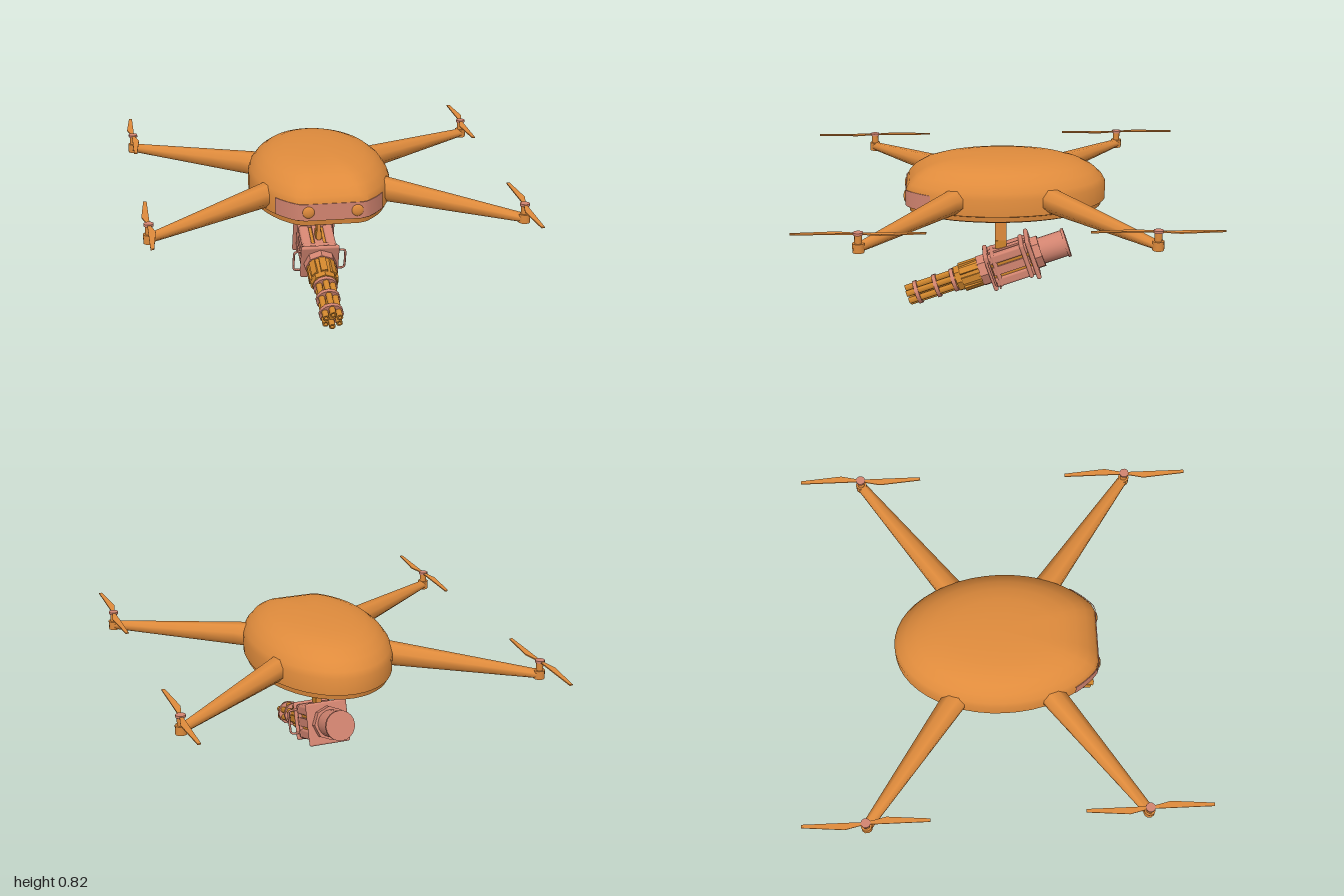
import * as THREE from 'three';
import { toCreasedNormals } from 'three/addons/utils/BufferGeometryUtils.js';
import { RoundedBoxGeometry } from 'three/addons/geometries/RoundedBoxGeometry.js';

const material = (name, color) => Object.assign(new THREE.MeshStandardMaterial({ color }), { name });
const orange = material('orange shell', 0xdf8b3c);
const amber = material('amber gunmetal', 0xcf852c);
const pink = material('salmon metal', 0xd28470);

function add(parent, name, geometry, mat, x = 0, y = 0, z = 0) {
  const mesh = new THREE.Mesh(geometry, mat);
  mesh.name = name;
  mesh.position.set(x, y, z);
  parent.add(mesh);
  return mesh;
}

// Oval turned surface with a flattened nose
function ovalShell(profile, start = 0, length = Math.PI * 2, segments = 48) {
  const points = profile.map(([r, y]) => new THREE.Vector2(r, y));
  const g = new THREE.LatheGeometry(points, segments, start, length);
  const p = g.attributes.position;
  for (let i = 0; i < p.count; i++) {
    const x = p.getX(i), z = p.getZ(i), r = Math.hypot(x, z);
    p.setXYZ(i, x * 0.355, p.getY(i), Math.min(z * 0.535, r * 0.48));
  }
  return toCreasedNormals(g, 0.6);
}

function createBody() {
  const body = new THREE.Group();
  body.name = 'body';
  add(body, 'shell', ovalShell([
    [0.9, 0.56], [0.96, 0.57], [0.97, 0.595], [1, 0.6], [1, 0.685], [0.97, 0.715], [0.89, 0.755],
    [0.78, 0.787], [0.65, 0.808], [0.48, 0.822], [0.25, 0.829], [0, 0.831]]), orange);
  add(body, 'underside', ovalShell([[0, 0.56], [0.9, 0.56]]), pink);
  add(body, 'nosePanel', ovalShell([[1, 0.604], [1.008, 0.604], [1.008, 0.686], [1, 0.686]], -0.84, 1.68, 24), pink);
  for (const side of [-1, 1]) {
    const lens = add(body, 'lens', new THREE.SphereGeometry(0.03, 16, 10), orange, side * 0.12, 0.645, 0.482);
    lens.scale.z = 0.4;
  }
  return body;
}

// Tapered arm running from z = 0 to z = length
function armGeometry(length) {
  const g = new THREE.CylinderGeometry(1, 1, 1, 8, 5).rotateY(Math.PI / 8).rotateX(Math.PI / 2);
  const p = g.attributes.position;
  for (let i = 0; i < p.count; i++) {
    const t = p.getZ(i) + 0.5;
    const top = 0.73 - 0.075 * t, bottom = 0.605 + 0.01 * t;
    const halfWidth = 0.064 - 0.04 * t;
    p.setXYZ(i, p.getX(i) * halfWidth / 0.92, (top + bottom) / 2 + p.getY(i) * (top - bottom) / 1.85, t * length);
  }
  return toCreasedNormals(g, 0.9);
}

function propellerGeometry() {
  const blade = [[0.006, -0.02], [0.006, -0.31], [-0.01, -0.31], [-0.028, -0.1], [-0.012, -0.03]];
  const outline = [...blade, ...blade.map(([x, y]) => [-x, -y])].map(([x, y]) => new THREE.Vector2(x, y));
  return new THREE.ExtrudeGeometry(new THREE.Shape(outline), { depth: 0.006, bevelEnabled: false }).rotateX(Math.PI / 2);
}

function createRotorArm(tipX, tipZ) {
  const group = new THREE.Group();
  group.name = 'rotorArm';
  const rootX = Math.sign(tipX) * 0.2, rootZ = Math.sign(tipZ) * 0.175;
  const dx = tipX - rootX, dz = tipZ - rootZ;
  const arm = add(group, 'arm', armGeometry(Math.hypot(dx, dz)), orange, rootX, 0, rootZ);
  arm.rotation.y = Math.atan2(dx, dz);
  add(group, 'motor', new THREE.CylinderGeometry(0.028, 0.028, 0.044, 10), orange, tipX, 0.635, tipZ);
  add(group, 'shaft', new THREE.CylinderGeometry(0.018, 0.018, 0.05, 10), orange, tipX, 0.68, tipZ);
  add(group, 'cap', new THREE.CylinderGeometry(0.024, 0.024, 0.012, 10), pink, tipX, 0.703, tipZ);
  const propeller = add(group, 'propeller', propellerGeometry(), orange, tipX, 0.705, tipZ);
  propeller.scale.x = -Math.sign(tipX);
  return group;
}

// Gun lies along local z, muzzle at the origin, back of the gun at negative z
function createGun() {
  const gun = new THREE.Group();
  gun.name = 'rotaryGun';
  const tube = (name, from, to, r, mat, sides = 20, rBack = r) =>
    add(gun, name, toCreasedNormals(new THREE.CylinderGeometry(r, rBack, to - from, sides).rotateX(Math.PI / 2), 0.6),
      mat, 0, 0, -(from + to) / 2);

  // Barrel cluster with open muzzles
  const barrelShape = new THREE.Shape().absarc(0, 0, 0.0165, 0, Math.PI * 2);
  barrelShape.holes.push(new THREE.Path().absarc(0, 0, 0.009, 0, Math.PI * 2, true));
  const barrelGeometry = toCreasedNormals(new THREE.ExtrudeGeometry(barrelShape,
    { depth: 0.3, bevelEnabled: false, curveSegments: 6 }), 0.8);
  for (let i = 0; i < 6; i++) {
    const a = i * Math.PI / 3 + Math.PI / 6;
    add(gun, 'barrel', barrelGeometry, amber, Math.cos(a) * 0.04, Math.sin(a) * 0.04, -0.3);
  }
  tube('spindle', 0.03, 0.3, 0.02, amber, 12);
  for (const u of [0.045, 0.15, 0.245]) tube('barrelClamp', u, u + 0.02, 0.063, pink, 12);

  // Faceted drive housing
  tube('housing', 0.27, 0.44, 0.068, amber, 8, 0.078);
  for (let i = 0; i < 4; i++) {
    const rib = add(gun, 'housingRib', new THREE.BoxGeometry(0.035, 0.15, 0.13), amber, 0, 0, -0.365);
    rib.rotation.z = i * Math.PI / 4;
  }
  tube('housingCollar', 0.4, 0.45, 0.084, pink, 8);

  // Receiver between two framed plates
  add(gun, 'receiver', new RoundedBoxGeometry(0.15, 0.15, 0.25, 2, 0.025), amber, 0, 0, -0.57);
  for (let i = 0; i < 4; i++) {
    const a = i * Math.PI / 2;
    const corner = new THREE.Vector2(0.063, 0.063).rotateAround(new THREE.Vector2(), a);
    add(gun, 'cornerRail', new RoundedBoxGeometry(0.05, 0.05, 0.22, 2, 0.012), pink, corner.x, corner.y, -0.57);
    const rail = add(gun, 'sideRail', new THREE.BoxGeometry(0.045, 0.02, 0.2), pink,
      -Math.sin(a) * 0.078, Math.cos(a) * 0.078, -0.57);
    rail.rotation.z = a;
  }
  for (const [u, size] of [[0.455, 0.2], [0.49, 0.18], [0.65, 0.19], [0.685, 0.22]])
    add(gun, 'framePlate', new RoundedBoxGeometry(size, size, 0.024, 3, 0.011), pink, 0, 0, -u);

  // Rear motor
  tube('rearCollar', 0.69, 0.735, 0.088, pink, 8);
  tube('rearMotor', 0.72, 0.87, 0.07, pink, 20);
  tube('rearLip', 0.862, 0.877, 0.077, pink, 20);

  // Side handles
  for (const s of [-1, 1]) {
    const path = new THREE.CatmullRomCurve3([[0.09, 0.062], [0.125, 0.06], [0.134, 0.045], [0.134, -0.045],
      [0.125, -0.06], [0.09, -0.062]].map(([x, y]) => new THREE.Vector3(s * x, y, -0.465)), false, 'catmullrom', 0.3);
    add(gun, 'handle', new THREE.TubeGeometry(path, 24, 0.006, 6), pink);
  }
  const hook = add(gun, 'hook', new THREE.BoxGeometry(0.02, 0.05, 0.008), pink, 0, -0.105, -0.48);
  hook.rotation.x = -0.5;

  gun.position.set(0, 0.066, 0.485);
  gun.rotation.x = 0.328;
  return gun;
}

export function createModel() {
  const model = new THREE.Group();
  model.name = 'quadcopter';
  model.add(createBody());
  for (const side of [-1, 1]) {
    model.add(createRotorArm(side * 0.895, 0.68));
    model.add(createRotorArm(side * 0.912, -0.69));
  }
  add(model, 'strut', new THREE.BoxGeometry(0.018, 0.25, 0.06), orange, 0, 0.445, 0);
  add(model, 'strutFoot', new THREE.BoxGeometry(0.03, 0.04, 0.06), amber, 0, 0.345, 0);
  model.add(createGun());
  return model;
}
